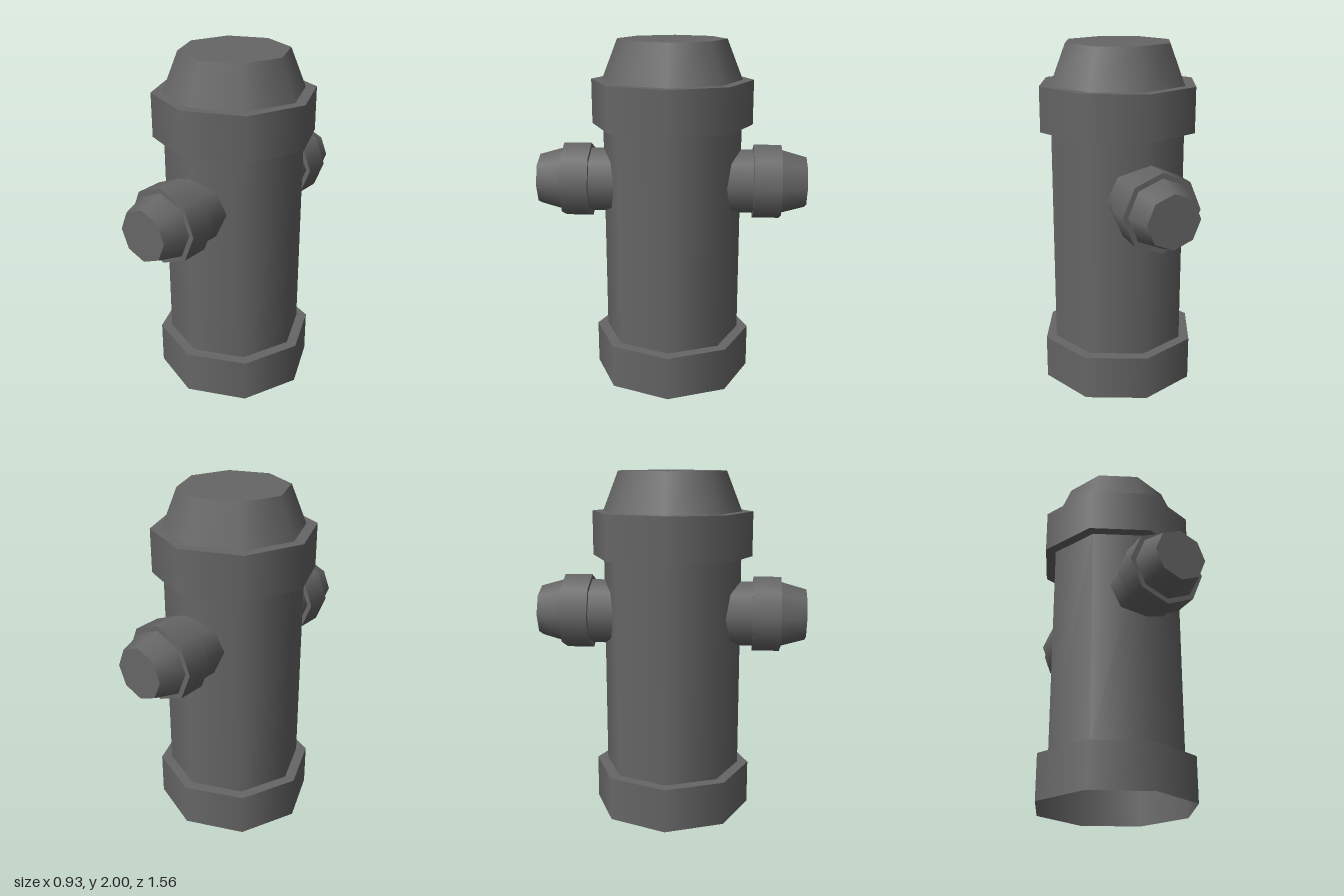
import * as THREE from 'three';
import { mergeVertices } from 'three/addons/utils/BufferGeometryUtils.js';

const SIDES = 8;
const BODY_R = 0.4, RIM_R = 0.463, AXIS_Y = 1.182;
const BASE_TOP = 0.257;

const material = new THREE.MeshStandardMaterial({ color: 0x666666 });
const shellMaterial = new THREE.MeshStandardMaterial({ color: 0x666666, side: THREE.DoubleSide });

// Eight-sided drum or cone standing between two heights, its side seam welded
function drum(name, rBottom, rTop, from, to, open = false) {
  const geometry = new THREE.CylinderGeometry(rTop, rBottom, to - from, SIDES, 1, open);
  geometry.translate(0, (from + to) / 2, 0);
  geometry.deleteAttribute('uv');
  const mesh = new THREE.Mesh(mergeVertices(geometry), open ? shellMaterial : material);
  mesh.name = name;
  return mesh;
}

// Hose outlet, built along +y and then tipped towards +z or -z
function outlet(name, direction) {
  const group = new THREE.Group();
  group.name = name;
  group.add(
    drum('outletPipe', 0.191, 0.191, 0.25, 0.48),
    drum('outletCollar', 0.22, 0.22, 0.472, 0.632),
    drum('outletNozzle', 0.191, 0.149, 0.63, 0.778)
  );
  group.position.y = AXIS_Y;
  group.rotation.x = direction * Math.PI / 2;
  return group;
}

export function createModel() {
  const model = new THREE.Group();
  model.name = 'hydrant';

  // Hollow foot, open underneath, closed by a flat plate at the top
  const base = new THREE.Group();
  base.name = 'base';
  const plate = new THREE.Mesh(new THREE.CircleGeometry(RIM_R, SIDES).rotateX(-Math.PI / 2), shellMaterial);
  plate.name = 'basePlate';
  plate.position.y = BASE_TOP;
  base.add(drum('baseWall', RIM_R, RIM_R, 0, BASE_TOP, true), plate);
  model.add(base);

  // Barrel, upper collar and tapered cap
  model.add(
    drum('barrel', BODY_R, BODY_R, BASE_TOP + 0.001, 1.53),
    drum('upperCollar', RIM_R, RIM_R, 1.519, 1.774),
    drum('cap', BODY_R, 0.31, 1.773, 2)
  );

  // Outlets at the front and back
  model.add(outlet('frontOutlet', 1), outlet('backOutlet', -1));
  return model;
}
